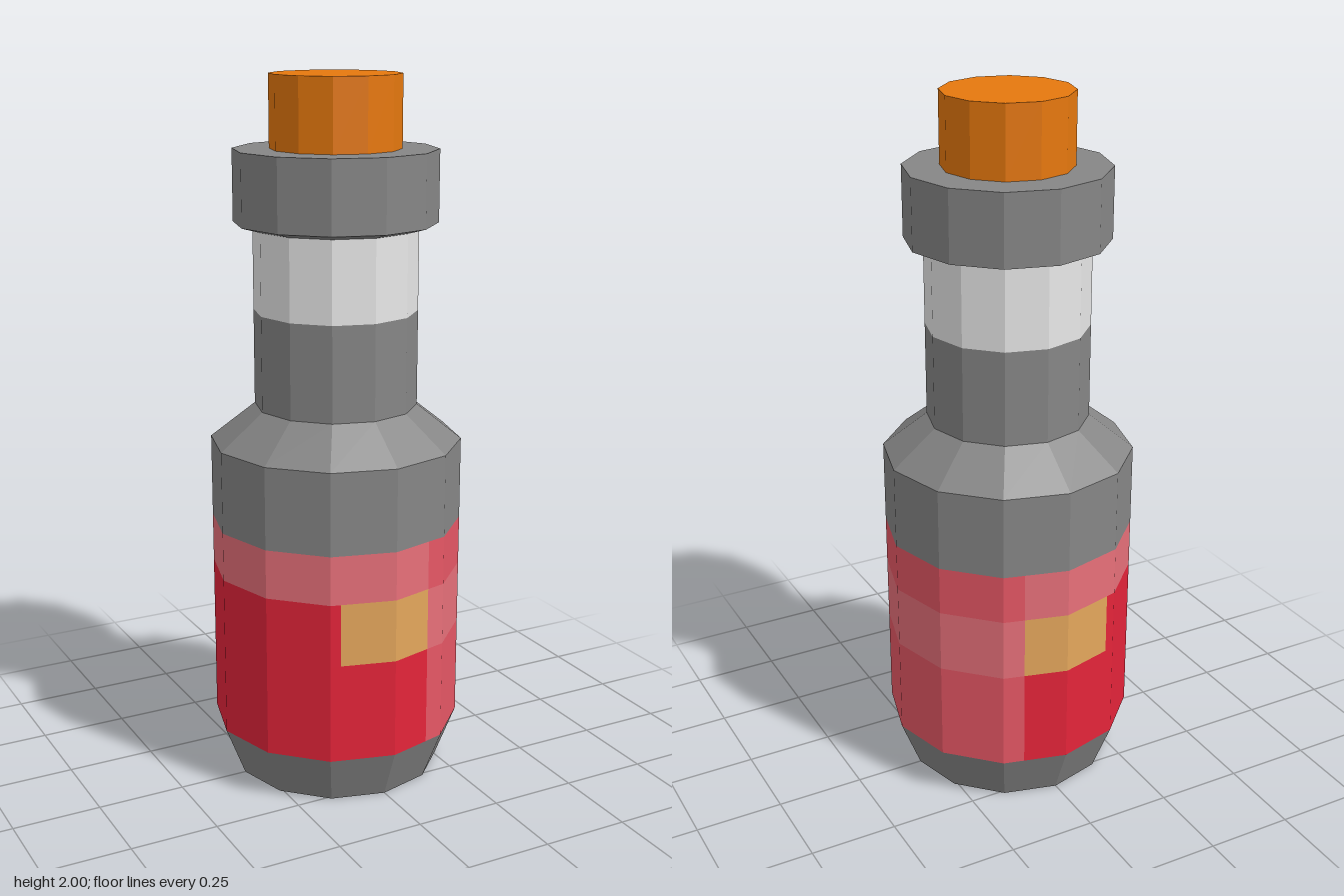
import * as THREE from 'three';

const SIDES = 12;
const BODY_R = 0.357;

export function createModel() {
  const model = new THREE.Group();
  model.name = 'bottle';

  const paint = (name, color) => {
    const m = new THREE.MeshStandardMaterial({ color, flatShading: true });
    m.name = name;
    return m;
  };
  const grey = paint('grey glass', 0x868686);
  const white = paint('white neck band', 0xe8e8e8);
  const cork = paint('cork orange', 0xe6780e);
  const red = paint('label red', 0xe4243a);
  const pink = paint('label pink', 0xe65765);
  const paleRed = paint('label pale pink', 0xe8707a);
  const gold = paint('label gold', 0xe4a75c);

  const add = (name, geometry, material) => {
    const mesh = new THREE.Mesh(geometry, material);
    mesh.name = name;
    model.add(mesh);
    return mesh;
  };

  // Faceted ring between two heights
  const ring = (name, y0, y1, r0, r1, material) =>
    add(name, new THREE.CylinderGeometry(r1, r0, y1 - y0, SIDES, 1, true)
      .translate(0, (y0 + y1) / 2, 0), material);

  // Flat disc facing up or down
  const cap = (name, y, r, material, up = true) =>
    add(name, new THREE.CircleGeometry(r, SIDES)
      .rotateX(up ? -Math.PI / 2 : Math.PI / 2).translate(0, y, 0), material);

  // Part of the faceted body wall, angles in degrees from the front towards +x
  const panel = (name, a0, a1, y0, y1, material) => {
    const step = 360 / SIDES;
    const angles = [a0];
    for (let a = (Math.floor(a0 / step) + 1) * step; a < a1 - 0.01; a += step) angles.push(a);
    angles.push(a1);
    const path = angles.map((deg) => {
      const a = THREE.MathUtils.degToRad(deg);
      const local = THREE.MathUtils.degToRad(THREE.MathUtils.euclideanModulo(deg, step) - step / 2);
      const r = BODY_R * Math.cos(Math.PI / SIDES) / Math.cos(local);
      return [Math.sin(a) * r, Math.cos(a) * r];
    });
    const pos = [];
    for (let i = 0; i < path.length - 1; i++) {
      const [ax, az] = path[i];
      const [bx, bz] = path[i + 1];
      pos.push(ax, y0, az, bx, y0, bz, bx, y1, bz, ax, y0, az, bx, y1, bz, ax, y1, az);
    }
    const g = new THREE.BufferGeometry();
    g.setAttribute('position', new THREE.Float32BufferAttribute(pos, 3));
    g.computeVertexNormals();
    return add(name, g, material);
  };

  // Body, shoulder and neck
  cap('bottom', 0, 0.3, grey, false);
  ring('base', 0, 0.145, 0.3, BODY_R, grey);
  ring('upperBody', 0.75, 0.985, BODY_R, BODY_R, grey);
  ring('shoulder', 0.985, 1.085, BODY_R, 0.23, grey);
  ring('neck', 1.085, 1.355, 0.23, 0.23, grey);
  ring('neckBand', 1.355, 1.587, 0.23, 0.23, white);

  // Label: red on one side, pink on the other, gold patches front and back
  const edge = 20.3;
  const far = 25.3;
  panel('labelRedLower', 180 - edge, 360 + edge, 0.145, 0.43, red);
  panel('labelRedUpper', 180 + far, 360 - far, 0.43, 0.61, red);
  panel('labelGoldFront', -far, edge, 0.43, 0.61, gold);
  panel('labelGoldBack', 180 - edge, 180 + far, 0.43, 0.61, gold);
  panel('labelPinkLower', edge, 180 - edge, 0.145, 0.43, pink);
  panel('labelPinkMiddle', edge, 180 - edge, 0.43, 0.61, paleRed);
  panel('labelPinkTop', edge, 180 - edge, 0.61, 0.75, pink);
  panel('labelPaleTop', 180 - edge, 360 + edge, 0.61, 0.75, paleRed);

  // Collar and cork
  ring('collarUnderside', 1.585, 1.6, 0.23, 0.284, grey);
  ring('collar', 1.6, 1.8, 0.284, 0.284, grey);
  cap('collarTop', 1.8, 0.284, grey);
  ring('cork', 1.8, 2, 0.182, 0.182, cork);
  cap('corkTop', 2, 0.182, cork);

  return model;
}
